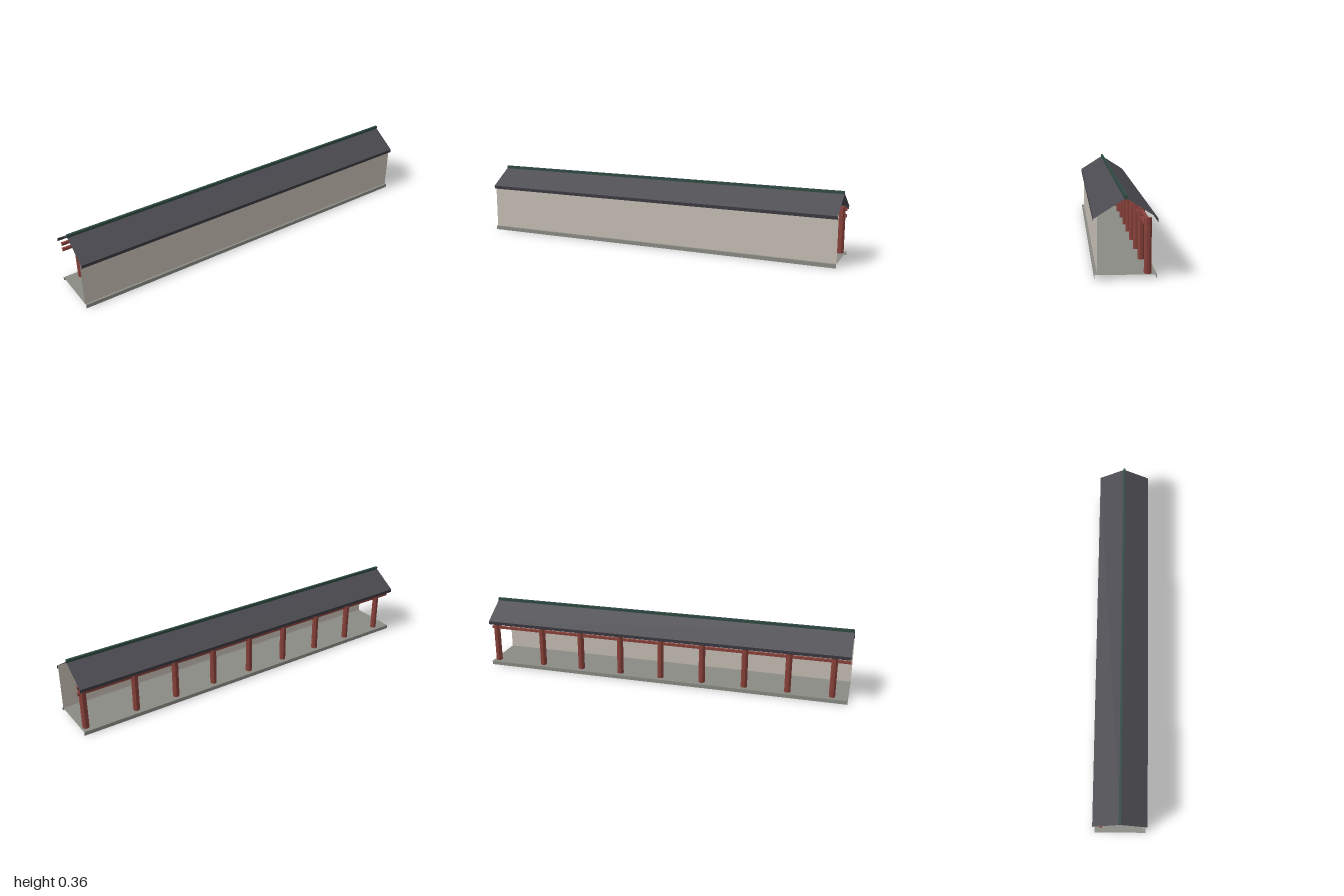
import * as THREE from 'three';

const LENGTH = 2;

function material(name, color, open = false) {
  const m = new THREE.MeshStandardMaterial({ color, side: open ? THREE.DoubleSide : THREE.FrontSide });
  m.name = name;
  return m;
}

// Sheet swept along x through a folded [z, y] profile, open at both ends
function sheet(name, profile, mat) {
  const position = [];
  const h = LENGTH / 2;
  for (let i = 0; i < profile.length - 1; i++) {
    const [z0, y0] = profile[i];
    const [z1, y1] = profile[i + 1];
    position.push(-h, y0, z0, h, y0, z0, h, y1, z1, -h, y0, z0, h, y1, z1, -h, y1, z1);
  }
  const geo = new THREE.BufferGeometry();
  geo.setAttribute('position', new THREE.Float32BufferAttribute(position, 3));
  geo.computeVertexNormals();
  const mesh = new THREE.Mesh(geo, mat);
  mesh.name = name;
  return mesh;
}

export function createModel() {
  const group = new THREE.Group();
  group.name = 'coveredCorridor';

  const stone = material('stone grey', 0x8b8b85, true);
  const plaster = material('plaster', 0xc4bdb3, true);
  const tile = material('roof slate', 0x4b4a50, true);
  const eaveTrim = material('eave trim', 0x3b3940, true);
  const ridgeGreen = material('ridge green', 0x2f4a42);
  const redWood = material('red wood', 0x88413a);

  // Floor with a turned-down edge along both long sides
  const fz = 0.134, floorY = 0.02;
  group.add(sheet('floor', [[fz, 0], [fz, floorY], [-fz, floorY], [-fz, 0]], stone));

  // Solid front wall
  group.add(sheet('wall', [[0.122, floorY], [0.122, 0.272]], plaster));

  // Gabled roof and its eave edges
  const rz = 0.138, eaveY = 0.262;
  group.add(sheet('roof', [[rz, eaveY], [0, 0.35], [-rz, eaveY]], tile));
  group.add(sheet('frontEave', [[rz, 0.245], [rz, eaveY]], eaveTrim));
  group.add(sheet('backEave', [[-rz, eaveY], [-rz, 0.245]], eaveTrim));

  // Ridge cap
  const ridge = new THREE.Mesh(new THREE.BoxGeometry(LENGTH, 0.018, 0.012), ridgeGreen);
  ridge.name = 'ridge';
  ridge.position.y = 0.352;
  group.add(ridge);

  // Row of octagonal posts along the open back
  const postZ = -0.096;
  const postGeo = new THREE.CylinderGeometry(0.0173, 0.0173, eaveY - floorY, 8).toNonIndexed();
  postGeo.rotateY(Math.PI / 8);
  postGeo.computeVertexNormals();
  const postXs = [0.974];
  for (let i = 0; i < 8; i++) postXs.push(0.696 - i * 0.2305);
  for (const x of postXs) {
    const post = new THREE.Mesh(postGeo, redWood);
    post.name = 'post';
    post.position.set(x, (floorY + eaveY) / 2, postZ);
    group.add(post);
  }

  // Two square rails joining the posts, open at the ends
  const railGeo = new THREE.CylinderGeometry(0.0095, 0.0095, LENGTH, 4, 1, true).toNonIndexed();
  railGeo.rotateY(Math.PI / 4);
  railGeo.rotateZ(Math.PI / 2);
  railGeo.computeVertexNormals();
  for (const [name, y] of [['upperRail', 0.25], ['lowerRail', 0.217]]) {
    const rail = new THREE.Mesh(railGeo, redWood);
    rail.name = name;
    rail.position.set(0, y, postZ);
    group.add(rail);
  }

  return group;
}
